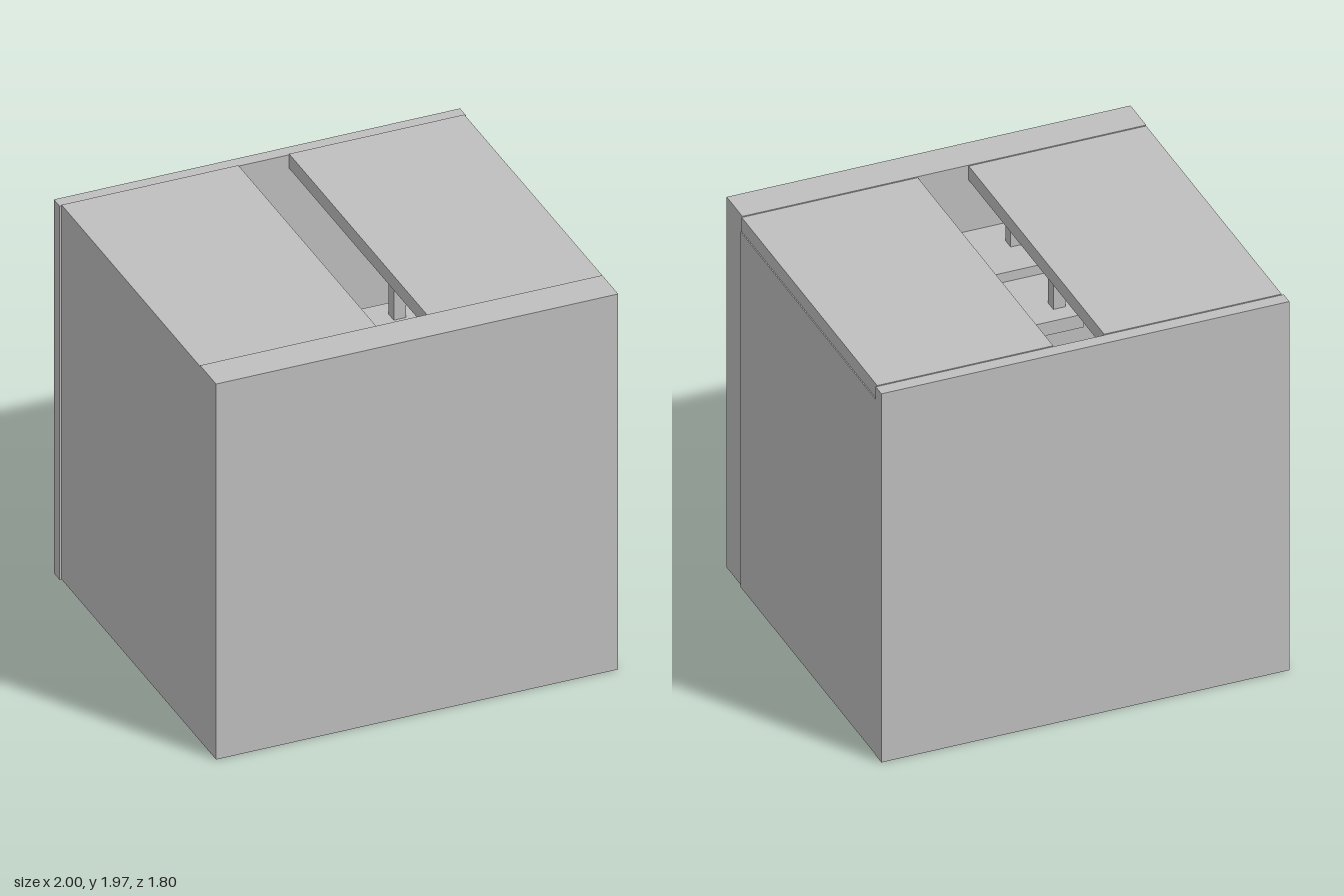
import * as THREE from 'three';

export function createModel() {
  const model = new THREE.Group();
  const plaster = new THREE.MeshStandardMaterial({ color: 0xbfbfbf });
  plaster.name = 'plain grey';

  // Box given by its minimum and maximum on each axis
  function block(name, [x0, x1], [y0, y1], [z0, z1]) {
    const mesh = new THREE.Mesh(new THREE.BoxGeometry(x1 - x0, y1 - y0, z1 - z0), plaster);
    mesh.name = name;
    mesh.position.set((x0 + x1) / 2, (y0 + y1) / 2, (z0 + z1) / 2);
    model.add(mesh);
    return mesh;
  }

  const backZ = -0.835, frontZ = 0.72;

  // Outer walls, open underneath
  block('frontWall', [-0.99, 0.99], [0, 1.97], [frontZ, 0.9]);
  block('backWall', [-1, 1], [0, 1.96], [-0.9, backZ]);
  block('leftWall', [0.9, 0.998], [0, 1.89], [backZ, frontZ]);
  block('rightWall', [-0.99, -0.9], [0, 1.89], [backZ, frontZ]);

  // Two roof panels with a long slot between them
  block('leftRoofPanel', [0.13, 0.993], [1.89, 1.965], [backZ, frontZ]);
  block('rightRoofPanel', [-0.99, -0.12], [1.89, 1.965], [backZ, frontZ]);

  // Landing below the slot, in two levels
  block('upperLanding', [-0.35, 0.35], [1.55, 1.62], [0.33, frontZ]);
  block('lowerLanding', [-0.35, 0.35], [1.5, 1.57], [-0.06, 0.33]);

  // Posts from the landing up to the roof
  for (const side of [-1, 1]) {
    for (const z of [0.06, 0.55]) {
      const x = side * 0.27;
      block('post', [x - 0.03, x + 0.03], [1.57, 1.89], [z - 0.03, z + 0.03]);
    }
  }

  // Steps going down towards the back
  [-0.06, -0.26, -0.44].forEach((z, i) => {
    const top = 1.42 - i * 0.15;
    block('step', [-0.35, 0.35], [top - 0.07, top], [z - 0.2, z]);
  });

  // Sloping plate at the foot of the steps
  const ramp = block('ramp', [-0.35, 0.35], [0.96, 0.98], [-0.86, -0.6]);
  ramp.rotation.x = 0.5;

  return model;
}
